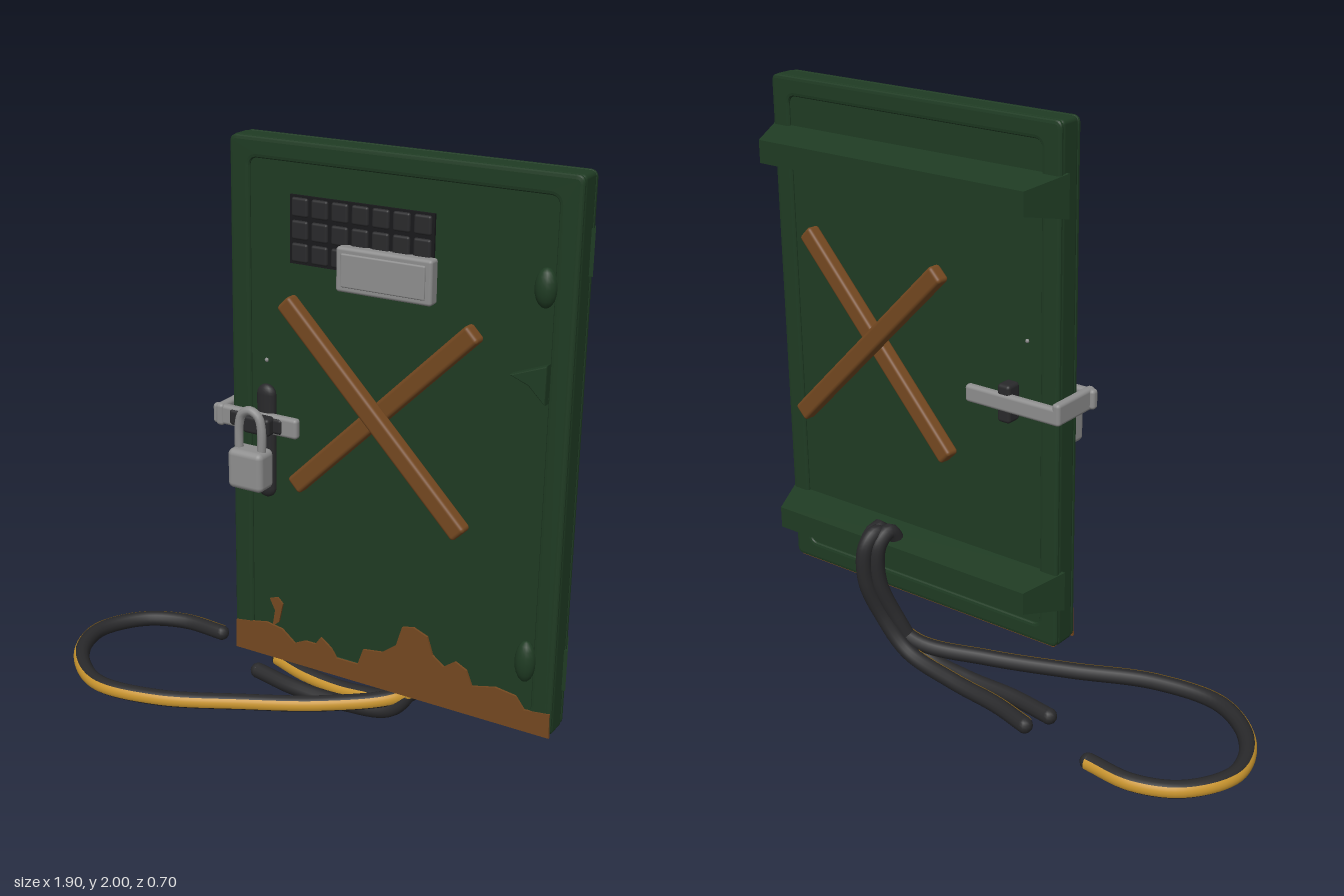
import * as THREE from 'three';
import { RoundedBoxGeometry } from 'three/addons/geometries/RoundedBoxGeometry.js';
import { ParametricGeometry } from 'three/addons/geometries/ParametricGeometry.js';

const material = (name, color, side = THREE.FrontSide) => {
  const m = new THREE.MeshStandardMaterial({ color, side });
  m.name = name;
  return m;
};

export function createModel() {
  const green = material('door green', 0x1f3b23);
  const brown = material('brown wood and rust', 0x744820);
  const grey = material('grey metal', 0x8e8e8e);
  const black = material('black rubber', 0x29292b);
  const dark = material('dark recess', 0x19191b);
  const yellow = material('yellow stripe', 0xc8942e, THREE.DoubleSide);

  const model = new THREE.Group();
  model.name = 'lockedDoor';

  // The door leaf is swung slightly; its front plane is local z = 0
  const door = new THREE.Group();
  door.name = 'door';
  door.position.set(0.372, 0, -0.018);
  door.rotation.y = 0.14;
  model.add(door);
  const W = 1.165, Y0 = 0.235, Y1 = 2, T = 0.105, H = Y1 - Y0, YC = (Y0 + Y1) / 2;
  const L = (x) => (x - 0.372) / 0.99; // world x to a place along the door

  const add = (parent, name, geometry, mat, x = 0, y = 0, z = 0) => {
    const mesh = new THREE.Mesh(geometry, mat);
    mesh.name = name;
    mesh.position.set(x, y, z);
    parent.add(mesh);
    return mesh;
  };
  const rbox = (w, h, d, r = 0.012) => new RoundedBoxGeometry(w, h, d, 3, r);

  // Box whose +z face is narrowed
  const taperedBox = (w, h, d, sx, sy) => {
    const g = new THREE.BoxGeometry(w, h, d);
    const p = g.attributes.position;
    for (let i = 0; i < p.count; i++) {
      if (p.getZ(i) > 0) p.setXY(i, p.getX(i) * sx, p.getY(i) * sy);
    }
    g.computeVertexNormals();
    return g;
  };
  const roundRect = (path, w, h, r) => {
    const x = w / 2, y = h / 2;
    path.moveTo(-x + r, -y);
    path.lineTo(x - r, -y).quadraticCurveTo(x, -y, x, -y + r);
    path.lineTo(x, y - r).quadraticCurveTo(x, y, x - r, y);
    path.lineTo(-x + r, y).quadraticCurveTo(-x, y, -x, y - r);
    path.lineTo(-x, -y + r).quadraticCurveTo(-x, -y, -x + r, -y);
    return path;
  };

  // Panel with a raised rim on both faces
  add(door, 'panel', rbox(W, H, T - 0.02, 0.015), green, 0, YC, -T / 2);
  const rimShape = roundRect(new THREE.Shape(), W, H, 0.025);
  rimShape.holes.push(roundRect(new THREE.Path(), W - 0.14, H - 0.13, 0.03));
  const rimGeometry = new THREE.ExtrudeGeometry(rimShape, {
    depth: 0.008, bevelThickness: 0.006, bevelSize: 0.012, bevelOffset: -0.012, bevelSegments: 2,
  });
  add(door, 'frontRim', rimGeometry, green, 0, YC, -0.014);
  add(door, 'backRim', rimGeometry, green, 0, YC, -T + 0.006);

  // Horizontal beams on the back
  for (const [name, y] of [['upperBeam', 1.77], ['lowerBeam', 0.44]]) {
    add(door, name, taperedBox(1.19, 0.14, 0.15, 0.9, 0.55), green, 0, y, -T - 0.045).rotation.y = Math.PI;
  }

  // Small hinge lugs and a pointed catch on the front rim
  for (const [name, y, h] of [['upperLug', 1.67, 0.12], ['lowerLug', 0.48, 0.14]]) {
    const g = new THREE.SphereGeometry(1, 16, 10).scale(0.034, h / 2, 0.03);
    add(door, name, g, green, L(0.855), y, 0);
  }
  const catchShape = new THREE.Shape([[0.05, 0.05], [-0.055, 0.01], [0, -0.01], [0.05, -0.06]].map((p) => new THREE.Vector2(...p)));
  add(door, 'catch', new THREE.ExtrudeGeometry(catchShape, {
    depth: 0.025, bevelThickness: 0.006, bevelSize: 0.005, bevelSegments: 2,
  }), green, L(0.825), 1.39, -0.012);

  // Rust creeping up from the lower edge
  const rustLine = [
    [-0.2, 0.34], [-0.13, 0.35], [-0.08, 0.36], [-0.02, 0.35], [0.03, 0.31], [0.07, 0.33], [0.11, 0.33],
    [0.13, 0.36], [0.17, 0.33], [0.19, 0.3], [0.27, 0.3], [0.29, 0.36], [0.36, 0.37], [0.41, 0.41], [0.43, 0.48],
    [0.47, 0.49], [0.52, 0.47], [0.54, 0.41], [0.58, 0.38], [0.62, 0.41], [0.66, 0.39], [0.68, 0.34],
    [0.76, 0.36], [0.83, 0.35], [0.86, 0.31], [0.945, 0.32],
  ];
  const rustShape = new THREE.Shape([
    [-W / 2 + 0.002, Y0], ...rustLine.map(([x, y]) => [L(x), y]), [W / 2 - 0.002, Y0],
  ].map((p) => new THREE.Vector2(...p)));
  const thin = { depth: 0.008, bevelEnabled: false };
  add(door, 'rust', new THREE.ExtrudeGeometry(rustShape, thin), brown, 0, 0, -0.005);
  const spot = new THREE.Shape([[-0.07, 0.45], [-0.04, 0.46], [-0.02, 0.44], [-0.035, 0.37], [-0.06, 0.35], [-0.05, 0.41]]
    .map(([x, y]) => new THREE.Vector2(L(x), y)));
  add(door, 'rustSpot', new THREE.ExtrudeGeometry(spot, thin), brown, 0, 0, -0.011);
  add(door, 'rustUnderside', new THREE.BoxGeometry(W - 0.03, 0.006, T - 0.02), brown, 0, Y0 - 0.002, -T / 2);

  // Grille of small cells, with a name plate over its corner
  const grille = new THREE.Group();
  grille.name = 'grille';
  grille.position.set(L(0.255), 1.73, -0.008);
  door.add(grille);
  add(grille, 'grilleBack', new THREE.BoxGeometry(0.495, 0.215, 0.012), dark);
  const cell = rbox(0.058, 0.06, 0.02, 0.008);
  for (let i = 0; i < 7; i++) {
    for (let j = 0; j < 3; j++) add(grille, 'grilleCell', cell, black, (i - 3) * 0.07, (j - 1) * 0.071, 0.004);
  }
  add(door, 'plate', rbox(0.325, 0.14, 0.045, 0.01), grey, L(0.352), 1.637, 0.012);
  add(door, 'plateFace', rbox(0.285, 0.105, 0.012, 0.005), grey, L(0.352), 1.637, 0.034);

  // Bolt strap wrapping the free edge
  add(door, 'strapFront', rbox(0.32, 0.068, 0.03), grey, L(-0.097), 1.093, 0.03);
  add(door, 'strapSide', rbox(0.03, 0.075, T + 0.1), grey, -0.605, 1.093, -T / 2);
  add(door, 'strapBack', rbox(0.37, 0.06, 0.03), grey, -0.435, 1.085, -T - 0.035);
  add(door, 'strapBackClip', rbox(0.05, 0.13, 0.06), black, -0.4, 1.08, -T - 0.015);
  add(door, 'hasp', new THREE.CapsuleGeometry(0.034, 0.32, 6, 14).scale(1, 1, 0.6), black, L(-0.066), 1.025, 0.015);
  for (const x of [-0.165, -0.015]) add(door, 'strapClip', rbox(0.05, 0.055, 0.03), black, L(x), 1.093, 0.035);
  add(door, 'staple', rbox(0.1, 0.06, 0.07), black, L(-0.07), 1.093, 0.045);

  // Padlock
  const padlock = new THREE.Group();
  padlock.name = 'padlock';
  padlock.position.set(L(-0.068) - 0.01, 0.955, 0.095);
  door.add(padlock);
  add(padlock, 'lockBody', rbox(0.13, 0.135, 0.085, 0.02), grey);
  const shackle = new THREE.CatmullRomCurve3([
    [-0.042, 0.04], [-0.042, 0.14], [-0.03, 0.18], [0, 0.195], [0.03, 0.18], [0.042, 0.14], [0.042, 0.04],
  ].map(([x, y]) => new THREE.Vector3(x, y, 0)));
  add(padlock, 'shackle', new THREE.TubeGeometry(shackle, 32, 0.015, 10), grey);

  // Small studs through the door
  for (const z of [-0.009, -T + 0.009]) add(door, 'stud', new THREE.SphereGeometry(0.007, 8, 6), grey, L(-0.08), 1.29, z);

  // Crossed planks in front and behind
  const plank = (name, a, b) => {
    const from = new THREE.Vector3(...a), to = new THREE.Vector3(...b);
    const along = to.clone().sub(from);
    const length = along.length();
    along.normalize();
    const side = new THREE.Vector3(0.1, 0, 1).cross(along).normalize();
    const out = along.clone().cross(side);
    const mesh = add(model, name, rbox(length, 0.062, 0.048, 0.012), brown);
    mesh.quaternion.setFromRotationMatrix(new THREE.Matrix4().makeBasis(along, side, out));
    mesh.position.copy(from).add(to).multiplyScalar(0.5);
  };
  plank('frontPlankOuter', [0.06, 1.53, 0.112], [0.69, 0.905, 0.048]);
  plank('frontPlankInner', [0.06, 0.905, 0.06], [0.69, 1.53, 0.014]);
  plank('backPlankOuter', [0.06, 1.53, -0.275], [0.69, 0.905, -0.325]);
  plank('backPlankInner', [0.06, 0.905, -0.247], [0.69, 1.53, -0.272]);

  // Three cables looping out of the lower beam and lying on the ground
  const R = 0.028;
  const tails = {
    longCable: [[0.3, 0.11, -0.19], [0.1, 0.07, -0.05], [-0.15, 0.055, 0.11], [-0.4, 0.05, 0.265], [-0.64, 0.045, 0.315],
      [-0.84, 0.045, 0.2], [-0.92, 0.045, 0.03], [-0.855, 0.045, -0.14], [-0.72, 0.045, -0.225], [-0.55, 0.048, -0.24]],
    rearCable: [[0.3, 0.09, -0.235], [0.1, 0.045, -0.21], [-0.1, 0.04, -0.205], [-0.26, 0.045, -0.23]],
    middleCable: [[0.29, 0.065, -0.18], [0.1, 0.03, -0.145], [-0.1, 0.03, -0.12], [-0.27, 0.035, -0.125]],
  };
  Object.entries(tails).forEach(([name, tail], k) => {
    const dx = [0.02, -0.005, -0.03][k], dz = [0.02, -0.01, 0.025][k];
    const head = [[0.42, 0.44, -0.2], [0.42, 0.52, -0.25], [0.425, 0.48, -0.295], [0.425, 0.35, -0.3], [0.39, 0.2, -0.255]]
      .map(([x, y, z]) => [x + dx, y, z + dz]);
    const curve = new THREE.CatmullRomCurve3([...head, ...tail].map((p) => new THREE.Vector3(...p)));
    add(model, name, new THREE.TubeGeometry(curve, 110, R, 12), black);
    for (const t of [0, 1]) {
      const p = curve.getPointAt(t);
      add(model, name + 'End', new THREE.SphereGeometry(R, 12, 8), black, p.x, p.y, p.z);
    }
    if (k === 2) return;

    // Painted stripe along the outer side of the cable
    const start = k === 0 ? 0.09 : 0.28;
    const stripe = new ParametricGeometry((u, v, target) => {
      const t = start + (1 - start) * u;
      const tangent = curve.getTangentAt(t);
      const out = new THREE.Vector3(0, 1, 0).cross(tangent).normalize();
      const up = tangent.clone().cross(out);
      const angle = (v - 0.5) * 1.25 + 0.15;
      target.copy(curve.getPointAt(t))
        .addScaledVector(out, Math.cos(angle) * (R + 0.002))
        .addScaledVector(up, Math.sin(angle) * (R + 0.002));
    }, 110, 5);
    add(model, name + 'Stripe', stripe, yellow);
  });

  return model;
}
